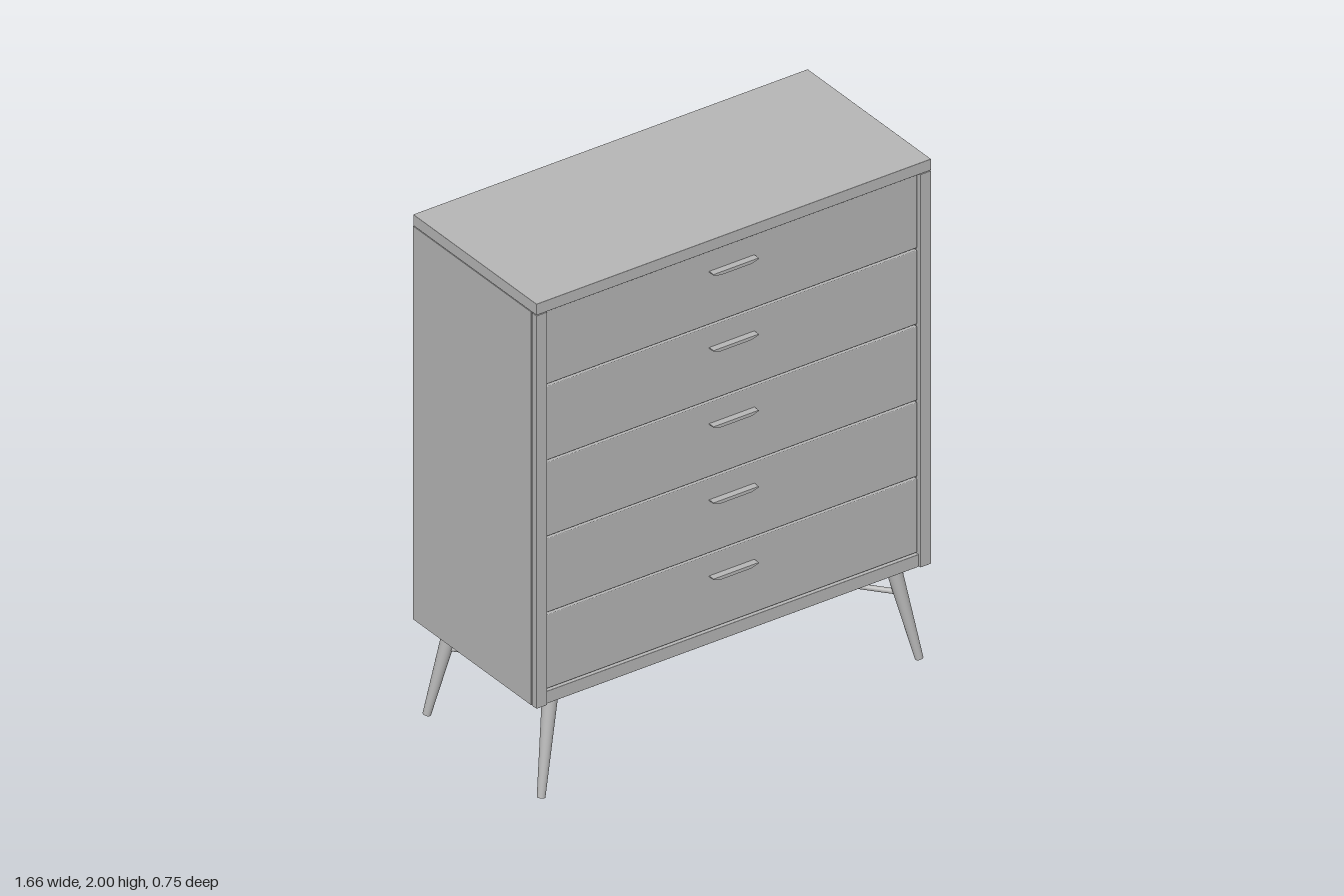
import * as THREE from 'three';
import { RoundedBoxGeometry } from 'three/addons/geometries/RoundedBoxGeometry.js';

export function createModel() {
  const model = new THREE.Group();
  model.name = 'chestOfDrawers';
  const grey = new THREE.MeshStandardMaterial({ color: 0xb8b8b8 });
  grey.name = 'grey';

  const add = (name, geometry, parent = model) => {
    const mesh = new THREE.Mesh(geometry, grey);
    mesh.name = name;
    parent.add(mesh);
    return mesh;
  };
  // Box given by its limits on each axis, with an optional softened edge
  const box = (name, [x0, x1], [y0, y1], [z0, z1], bevel = 0, parent = model) => {
    const size = [x1 - x0, y1 - y0, z1 - z0];
    const geometry = bevel ? new RoundedBoxGeometry(...size, 1, bevel) : new THREE.BoxGeometry(...size);
    add(name, geometry, parent).position.set((x0 + x1) / 2, (y0 + y1) / 2, (z0 + z1) / 2);
  };
  // Round bar between two points
  const bar = (name, from, to, rFrom, rTo, parent = model) => {
    const a = new THREE.Vector3(...from), b = new THREE.Vector3(...to);
    const dir = b.clone().sub(a);
    const mesh = add(name, new THREE.CylinderGeometry(rTo, rFrom, dir.length(), 24), parent);
    mesh.position.copy(a).add(b).multiplyScalar(0.5);
    mesh.quaternion.setFromUnitVectors(new THREE.Vector3(0, 1, 0), dir.normalize());
  };

  // Carcass
  const back = -0.37, front = 0.36, base = 0.378;
  box('top', [-0.83, 0.83], [1.955, 2], [back, front], 0.002);
  for (const s of [-1, 1]) {
    const span = (a, b) => (s > 0 ? [a, b] : [-b, -a]);
    box('sidePanel', span(0.785, 0.83), [base, 1.953], [back, 0.328]);
    box('sideFrontEdge', span(0.785, 0.83), [base, 1.953], [0.331, front], 0.002);
  }
  box('carcassCore', [-0.786, 0.786], [base + 0.002, 1.93], [-0.355, 0.325]);
  box('topRail', [-0.786, 0.786], [1.93, 1.956], [-0.34, 0.325]);
  box('bottomRail', [-0.784, 0.784], [base, 0.428], [0.32, 0.352], 0.002);
  box('backPanel', [-0.81, 0.81], [base + 0.008, 1.925], [-0.372, -0.354]);

  // Drawers with tab pulls
  const lip = new THREE.Shape();
  lip.moveTo(-0.095, 0.004);
  lip.lineTo(0.095, 0.004);
  lip.lineTo(0.095, 0);
  lip.lineTo(0.065, -0.009);
  lip.lineTo(-0.065, -0.009);
  lip.lineTo(-0.095, 0);
  const lipGeometry = new THREE.ExtrudeGeometry(lip, { depth: 0.003, bevelEnabled: false });
  for (let i = 0; i < 5; i++) {
    const y = 0.432 + i * 0.305;
    const drawer = new THREE.Group();
    drawer.name = 'drawer' + (i + 1);
    model.add(drawer);
    box('drawerFront', [-0.78, 0.78], [y + 0.003, y + 0.299], [0.31, 0.348], 0.003, drawer);
    box('pullPlate', [-0.095, 0.095], [y + 0.212, y + 0.216], [0.345, 0.372], 0, drawer);
    add('pullLip', lipGeometry, drawer).position.set(0, y + 0.212, 0.371);
  }

  // Back screws
  const screw = new THREE.SphereGeometry(0.004, 10, 6);
  const spots = [];
  for (const x of [-0.735, -0.505, -0.235, 0, 0.235, 0.505, 0.735]) spots.push([x, 1.9], [x, 0.4]);
  for (const y of [0.41, 0.46, 1.14, 1.82, 1.89]) spots.push([-0.79, y], [0.79, y]);
  for (const [x, y] of spots) add('backScrew', screw).position.set(x, y, back - 0.002);

  // Splayed tapered legs, each braced to the end of a central stretcher
  for (const sx of [-1, 1]) {
    for (const sz of [-1, 1]) {
      bar('leg', [sx * 0.795, 0.002, sz * 0.338], [sx * 0.718, 0.385, sz * 0.286], 0.015, 0.029);
      bar('legBrace', [sx * 0.742, 0.267, sz * 0.302], [sx * 0.495, 0.267, 0], 0.01, 0.01);
    }
    add('stretcherJoint', new THREE.SphereGeometry(0.0115, 16, 12)).position.set(sx * 0.495, 0.265, 0);
  }
  bar('centreStretcher', [-0.495, 0.264, 0], [0.495, 0.264, 0], 0.011, 0.011);

  return model;
}
